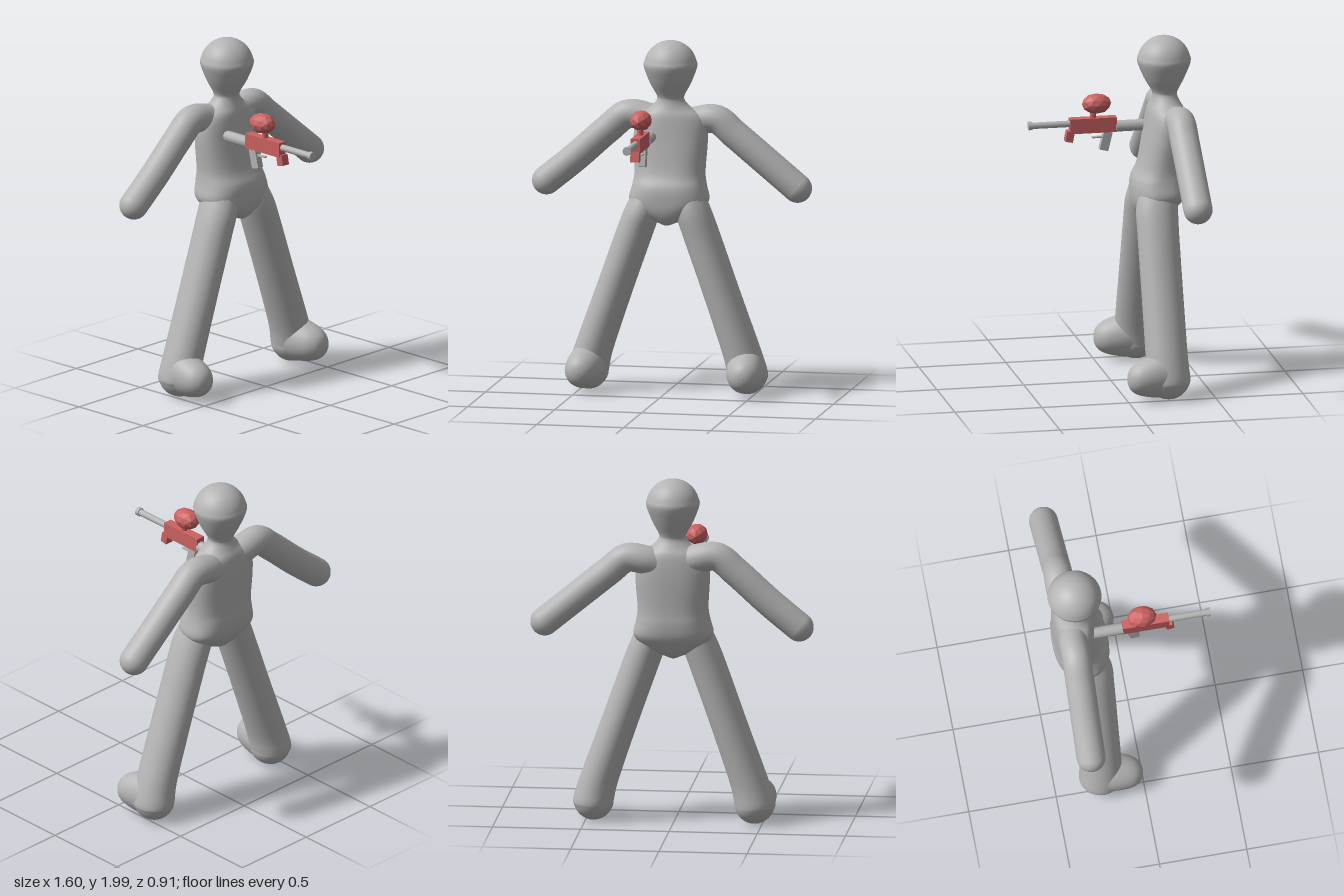
import * as THREE from 'three';

const grey = new THREE.MeshStandardMaterial({ color: 0xb5b5b5 });
grey.name = 'grey';
const red = new THREE.MeshStandardMaterial({ color: 0xcc6262 });
red.name = 'red';
const redFlat = red;

// Smooth closed skin through key rings [y, centreX, centreZ, radiusX, radiusZ, squareness], listed upwards
function loft(rings, steps = 4, sides = 40) {
  const centre = new THREE.CatmullRomCurve3(rings.map(r => new THREE.Vector3(r[1], r[0], r[2])), false, 'catmullrom');
  const size = new THREE.CatmullRomCurve3(rings.map(r => new THREE.Vector3(r[3], r[5] ?? 2, r[4])), false, 'catmullrom');
  const rows = (rings.length - 1) * steps;
  const pos = [], index = [];
  for (let i = 0; i <= rows; i++) {
    const c = centre.getPoint(i / rows), s = size.getPoint(i / rows);
    for (let j = 0; j < sides; j++) {
      const a = (j / sides) * Math.PI * 2;
      const bend = v => Math.sign(v) * Math.abs(v) ** (2 / s.y);
      pos.push(c.x + s.x * bend(Math.cos(a)), c.y, c.z + s.z * bend(Math.sin(a)));
      if (i === rows) continue;
      const p = i * sides + j, q = i * sides + (j + 1) % sides;
      index.push(p, p + sides, q, q, p + sides, q + sides);
    }
  }
  // end caps
  const first = rings[0], last = rings[rings.length - 1], base = rows * sides, n = pos.length / 3;
  pos.push(first[1], first[0], first[2], last[1], last[0], last[2]);
  for (let j = 0; j < sides; j++) {
    const k = (j + 1) % sides;
    index.push(n, j, k, n + 1, base + k, base + j);
  }
  const g = new THREE.BufferGeometry();
  g.setAttribute('position', new THREE.Float32BufferAttribute(pos, 3));
  g.setIndex(index);
  g.computeVertexNormals();
  return g;
}

function add(parent, name, geometry, material, x = 0, y = 0, z = 0, tilt = 0) {
  const m = new THREE.Mesh(geometry, material);
  m.name = name;
  m.position.set(x, y, z);
  m.rotation.x = tilt;
  parent.add(m);
  return m;
}

function createFigure() {
  const figure = new THREE.Group();
  figure.name = 'figure';

  // Torso, neck and head in one skin: [y, half width, front z, back z, squareness]
  const profile = [
    [0.965, 0.03, -0.17, -0.31, 2],
    [0.99, 0.09, -0.14, -0.35, 2.1],
    [1.04, 0.18, -0.12, -0.39, 2.3],
    [1.1, 0.226, -0.115, -0.425, 2.5],
    [1.18, 0.21, -0.122, -0.435, 2.5],
    [1.26, 0.2, -0.158, -0.43, 2.4],
    [1.42, 0.21, -0.19, -0.43, 2.4],
    [1.52, 0.205, -0.205, -0.425, 2.3],
    [1.58, 0.175, -0.215, -0.415, 2.2],
    [1.62, 0.115, -0.228, -0.395, 2],
    [1.66, 0.08, -0.238, -0.378, 2],
    [1.69, 0.08, -0.232, -0.385, 2],
    [1.76, 0.117, -0.191, -0.42, 2],
  ];
  const rings = profile.map(([y, w, f, b, n]) => [y, 0, (f + b) / 2, w, (f - b) / 2, n]);
  for (let i = 0; i <= 6; i++) {
    const a = (i / 6) * Math.PI / 2;
    rings.push([1.85 + 0.15 * Math.sin(a), 0, -0.305, 0.15 * Math.cos(a) + 0.0005, 0.15 * Math.cos(a) + 0.0005, 2]);
  }
  add(figure, 'torsoAndHead', loft(rings), grey);

  for (const side of [-1, 1]) {
    const label = side < 0 ? 'right' : 'left';

    // Leg with a rounded heel
    const leg = [];
    for (let i = 0; i <= 5; i++) {
      const a = (i / 5) * Math.PI / 2;
      leg.push([0.13 - 0.122 * Math.cos(a), side * 0.456, -0.238, 0.115 * Math.sin(a) + 0.0005, 0.122 * Math.sin(a) + 0.0005]);
    }
    leg.push([0.25, side * 0.424, -0.233, 0.112, 0.119]);
    leg.push([0.6, side * 0.302, -0.232, 0.107, 0.118]);
    leg.push([0.9, side * 0.196, -0.232, 0.107, 0.118]);
    leg.push([1.04, side * 0.146, -0.235, 0.104, 0.118]);
    leg.push([1.15, side * 0.115, -0.25, 0.085, 0.1]);
    add(figure, label + 'Leg', loft(leg), grey);

    // Foot lofted forwards: [z, x, height, half width, half height]
    const foot = [
      [-0.25, 0.452, 0.14, 0.106, 0.124],
      [-0.18, 0.456, 0.145, 0.108, 0.125],
      [-0.11, 0.463, 0.14, 0.102, 0.11],
      [-0.055, 0.468, 0.136, 0.087, 0.09],
      [-0.02, 0.47, 0.134, 0.06, 0.064],
      [-0.004, 0.471, 0.134, 0.032, 0.034],
      [0.002, 0.471, 0.134, 0.001, 0.001],
    ].map(([z, x, y, w, h]) => [z, side * x, -y, w, h]);
    add(figure, label + 'Foot', loft(foot), grey, 0, 0, 0, Math.PI / 2);

    // Arm bent at the shoulder, with a round hand
    const lift = side < 0 ? 0.015 : 0, z = side < 0 ? -0.34 : -0.352;
    const path = [[0.04, 1.5], [0.15, 1.54], [0.255, 1.55], [0.36, 1.468], [0.55, 1.312], [0.72, 1.172]]
      .map(([x, y], i) => new THREE.Vector3(side * x, y + (i < 4 ? lift : 0), i ? z : -0.32));
    const curve = new THREE.CatmullRomCurve3(path);
    add(figure, label + 'Arm', new THREE.TubeGeometry(curve, 40, 0.082, 28), grey);
    add(figure, label + 'Hand', new THREE.SphereGeometry(0.082, 28, 20), grey, side * 0.72, 1.172, z);
  }
  return figure;
}

function createMarker() {
  const marker = new THREE.Group();
  marker.name = 'marker';
  marker.position.x = -0.094;
  const box = (w, h, d) => new THREE.BoxGeometry(w, h, d);
  const rod = (r, length, sides) => new THREE.CylinderGeometry(r, r, length, sides).rotateX(Math.PI / 2);

  add(marker, 'receiver', box(0.054, 0.085, 0.267), red, 0, 1.478, 0.084);
  add(marker, 'barrel', rod(0.019, 0.245, 12), grey, 0, 1.49, 0.322);
  add(marker, 'muzzle', rod(0.025, 0.022, 12), grey, 0, 1.49, 0.444);
  add(marker, 'airTank', rod(0.033, 0.22, 10), grey, 0, 1.463, -0.155);

  // Faceted hopper on its feed neck
  const hopper = new THREE.IcosahedronGeometry(1, 1).scale(0.062, 0.058, 0.084);
  hopper.computeVertexNormals();
  add(marker, 'hopper', hopper, redFlat, 0, 1.6, 0.063);
  add(marker, 'feedNeck', new THREE.CylinderGeometry(0.018, 0.018, 0.06, 10), red, 0, 1.535, 0.083);

  // Grips and trigger guard
  add(marker, 'frontGrip', box(0.05, 0.06, 0.043), red, 0, 1.418, 0.219, -0.2);
  add(marker, 'rearGrip', box(0.04, 0.11, 0.05), grey, 0, 1.383, 0.011, -0.24);
  add(marker, 'triggerGuard', box(0.022, 0.008, 0.06), grey, 0, 1.405, 0.058);
  return marker;
}

export function createModel() {
  const model = new THREE.Group();
  model.name = 'figureWithMarker';
  model.add(createFigure(), createMarker());
  return model;
}
